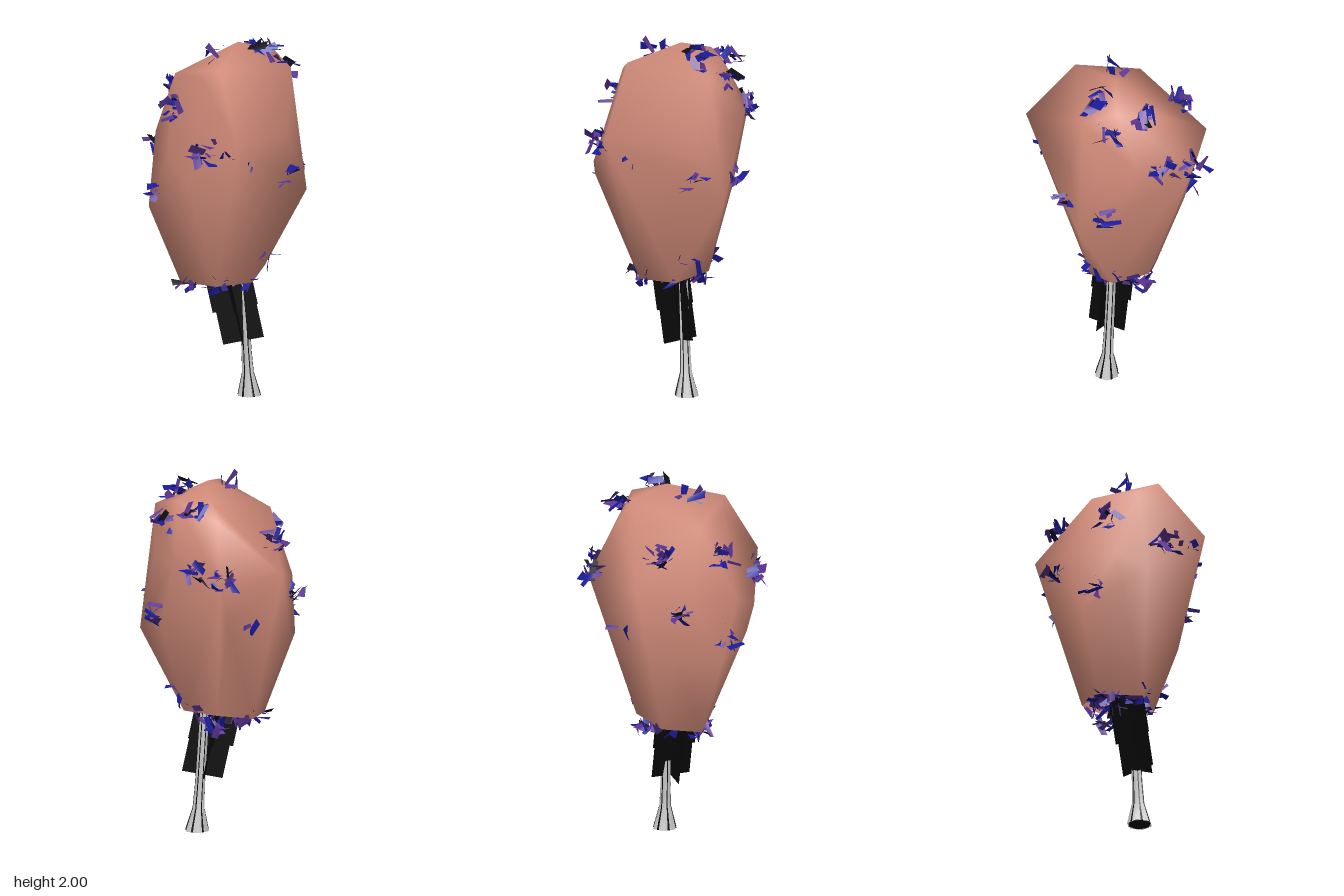
import * as THREE from 'three';
import { mergeGeometries, toCreasedNormals } from 'three/addons/utils/BufferGeometryUtils.js';

const mat = (color, extra = {}) => new THREE.MeshStandardMaterial({ color, ...extra });

// Small seeded generator, returns -1..1
let seed = 7;
const rnd = () => {
  seed = (seed * 16807) % 2147483647;
  return (seed / 2147483647) * 2 - 1;
};

// Corner points of the canopy
const canopyPoints = [
  [0.07, 1.97, 0.0], [0.355, 1.84, 0.03], [0.25, 1.9, -0.13], [-0.02, 1.89, 0.3], [-0.12, 1.83, 0.25],
  [-0.27, 1.8, 0.04], [0.08, 1.91, -0.2], [0.05, 1.82, -0.3], [0.09, 1.53, 0.545], [-0.3, 1.4, 0.24],
  [-0.38, 1.45, -0.06], [-0.3, 1.53, -0.36], [0.05, 1.52, -0.48], [0.28, 1.58, -0.27],
  [0.37, 1.58, -0.08], [0.34, 1.5, 0.12], [-0.2, 1.31, 0.39], [-0.3, 1.2, 0.3], [0.15, 1.31, 0.38],
  [0.0, 1.27, -0.4], [0.44, 1.15, 0.0], [0.34, 1.2, -0.14], [-0.41, 1.07, 0.1], [-0.37, 1.1, -0.15],
  [-0.24, 0.64, 0.06], [-0.04, 0.65, 0.2], [0.15, 0.65, 0.1], [0.21, 0.7, -0.08],
  [0.04, 0.7, -0.2], [-0.16, 0.66, -0.14],
].map((p) => new THREE.Vector3(...p));

// Leaf clusters: x, y, z, leaf count
const clusters = [
  [0.23, 1.92, 0.0, 14], [-0.04, 1.9, 0.06, 6], [0.16, 1.85, -0.25, 11], [0.32, 1.79, -0.13, 11],
  [-0.27, 1.68, -0.2, 13], [-0.27, 1.64, 0.17, 13], [-0.38, 1.38, -0.11, 15], [0.02, 1.54, -0.47, 15],
  [0.17, 1.56, -0.38, 13], [-0.1, 1.45, 0.41, 13], [0.0, 1.47, 0.45, 9], [0.34, 1.27, 0.12, 12],
  [0.35, 1.27, -0.14, 11], [-0.36, 1.2, 0.15, 11], [-0.1, 1.25, -0.36, 3], [0.12, 1.42, 0.41, 6],
  [0.21, 0.78, 0.06, 6], [0.19, 0.78, -0.12, 6],
  [-0.19, 0.66, 0.06, 13], [-0.03, 0.66, 0.15, 13], [0.1, 0.66, 0.07, 11],
  [0.06, 0.65, -0.14, 15], [-0.11, 0.66, -0.09, 13], [-0.02, 0.67, 0.0, 15],
];

// Convex skin left open underneath: keep each triangle with every other point on one side
function openSkin(points) {
  const corners = [];
  const plane = new THREE.Plane();
  for (let i = 0; i < points.length; i++) {
    for (let j = i + 1; j < points.length; j++) {
      for (let k = j + 1; k < points.length; k++) {
        const [a, b, c] = [points[i], points[j], points[k]];
        if (Math.max(a.y, b.y, c.y) < 0.75) continue;
        plane.setFromCoplanarPoints(a, b, c);
        const distances = points.map((p) => plane.distanceToPoint(p));
        if (distances.every((d) => d < 1e-6)) corners.push(a, b, c);
        else if (distances.every((d) => d > -1e-6)) corners.push(a, c, b);
      }
    }
  }
  return new THREE.BufferGeometry().setFromPoints(corners);
}

// One bent, pointed leaf shard
function leaf(x, y, z) {
  const w = 0.014 + 0.02 * Math.abs(rnd());
  const h = 0.03 + 0.025 * Math.abs(rnd());
  const g = new THREE.PlaneGeometry(2 * w, 2 * h);
  const p = g.attributes.position;
  p.setX(0, p.getX(0) + w * (0.6 + 0.6 * rnd()));
  p.setX(3, p.getX(3) - w * (0.6 + 0.6 * rnd()));
  p.setZ(1, 0.025 * rnd());
  g.computeVertexNormals();
  g.rotateZ(rnd() * Math.PI).rotateX(rnd() * Math.PI).rotateY(rnd() * Math.PI);
  g.translate(x, y, z);
  g.computeBoundingBox();
  // Keep the crown within its height
  g.translate(0, -Math.max(0, g.boundingBox.max.y - 2), 0);
  return g;
}

// Six-sided trunk, flared at the foot and leaning slightly
function trunkGeometry(scale, turn) {
  const g = new THREE.CylinderGeometry(1, 1, 0.75, 6, 6, true);
  g.rotateY(turn).translate(0, 0.375, 0);
  const p = g.attributes.position;
  for (let i = 0; i < p.count; i++) {
    const y = p.getY(i);
    const r = scale * (0.027 + 0.038 * Math.max(0, 1 - y / 0.14) + 0.006 * (0.75 - y));
    p.setXYZ(i, p.getX(i) * r + 0.13 - 0.06 * y, y, p.getZ(i) * r + 0.01 - 0.01 * y);
  }
  g.computeVertexNormals();
  return g;
}

export function createModel() {
  const group = new THREE.Group();
  const add = (name, geometry, material) => {
    const mesh = new THREE.Mesh(geometry, material);
    mesh.name = name;
    group.add(mesh);
    return mesh;
  };

  // Canopy, smooth all round
  const skin = toCreasedNormals(openSkin(canopyPoints), 2);
  add('canopy', skin, mat(0xd08a78, { side: THREE.DoubleSide }));

  // Leaves, sorted into three colours
  const leaves = [[], [], []];
  for (const [x, y, z, count] of clusters) {
    for (let i = 0; i < count; i++) {
      const blade = leaf(x + rnd() * 0.055, y + rnd() * 0.05, z + rnd() * 0.055);
      leaves[[0, 1, 0, 1, 0, 1, 2][i % 7]].push(blade);
    }
  }
  const tints = { blueLeaves: 0x1a1a9c, purpleLeaves: 0x5a3494, darkLeaves: 0x101012 };
  Object.entries(tints).forEach(([name, color], i) =>
    add(name, mergeGeometries(leaves[i]), mat(color, { side: THREE.DoubleSide })));

  // Trunk with dark bark showing through the pale wood
  const dark = mat(0x080808, { side: THREE.DoubleSide });
  add('trunk', trunkGeometry(1, 0), mat(0xcccccc, { side: THREE.DoubleSide }));
  add('darkBark', trunkGeometry(0.92, 0.45), dark);
  const foot = add('trunkFoot', new THREE.CircleGeometry(0.063, 6), dark);
  foot.rotation.x = Math.PI / 2;
  foot.position.set(0.13, 0.002, 0.01);

  // Crossed dark cards hanging below the canopy, tilted along the stem
  const cards = [
    { x: 0.1, y: 0.305, width: 0.225, length: 0.45 },
    { x: 0.055, y: 0.485, width: 0.25, length: 0.25 },
  ];
  for (const { x, y, width, length } of cards) {
    for (const turn of [0, Math.PI / 2]) {
      const g = new THREE.PlaneGeometry(width, length);
      g.translate(0, length / 2, 0).rotateY(turn).rotateZ(0.21).translate(x, y, 0.03);
      add('branchCard', g, dark);
    }
  }
  return group;
}
